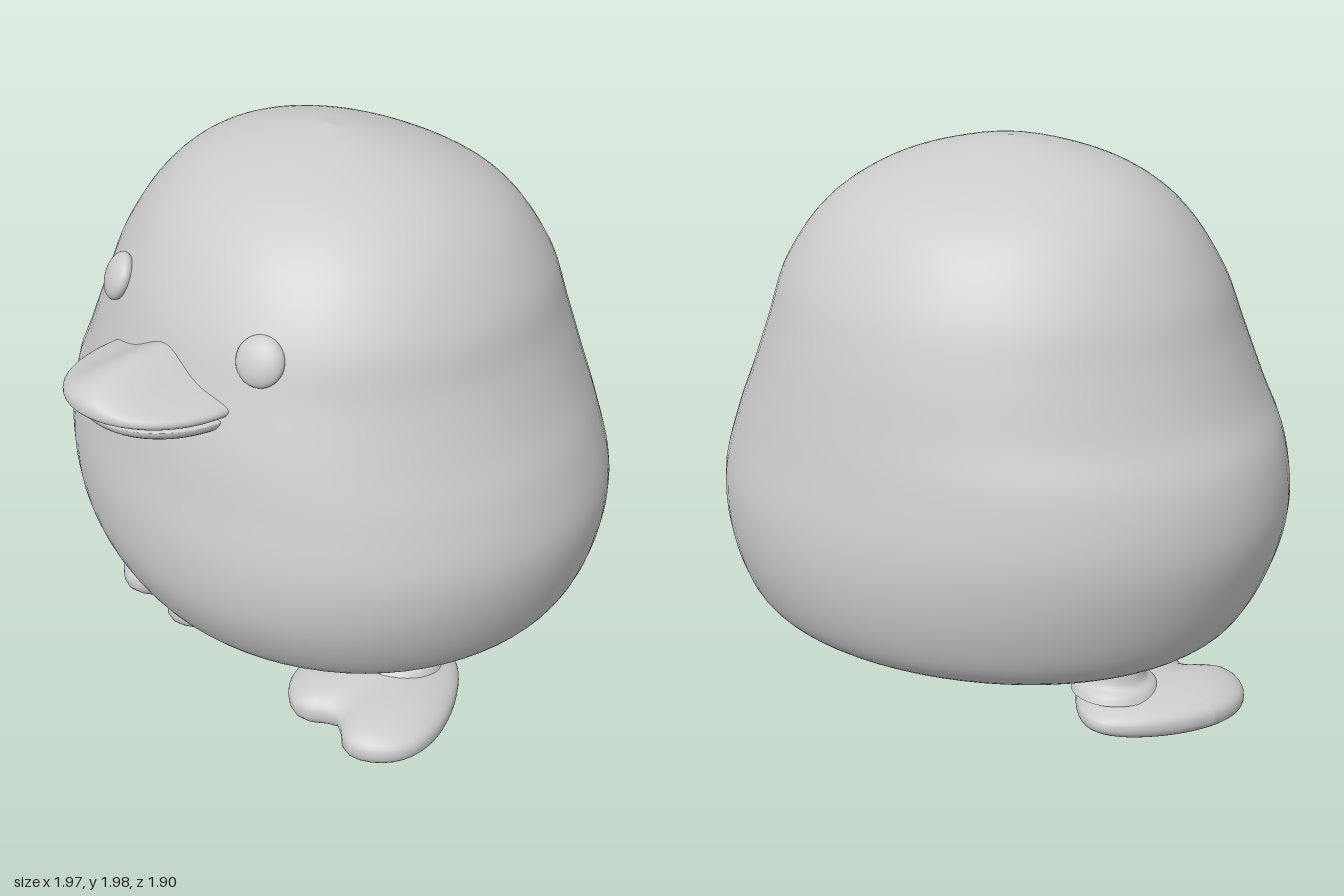
import * as THREE from 'three';

const grey = new THREE.MeshStandardMaterial({ color: 0xcccccc });
grey.name = 'soft grey';

function part(name, geometry, parent) {
  const mesh = new THREE.Mesh(geometry, grey);
  mesh.name = name;
  parent.add(mesh);
  return mesh;
}

// Unit sphere whose points are moved by a rule
function shapedSphere(rule, w = 48, h = 32) {
  const g = new THREE.SphereGeometry(1, w, h);
  const p = g.attributes.position;
  for (let i = 0; i < p.count; i++) p.setXYZ(i, ...rule(p.getX(i), p.getY(i), p.getZ(i)));
  g.computeVertexNormals();
  return g;
}

// Body levels: height, right edge, left edge, front edge, back edge
const levels = [
  [0.375, -0.01, 0.01, -0.08, -0.1],
  [0.378, -0.4, 0.42, 0.28, -0.48],
  [0.385, -0.61, 0.64, 0.45, -0.66],
  [0.415, -0.73, 0.77, 0.53, -0.78],
  [0.5, -0.85, 0.885, 0.65, -0.88],
  [0.68, -0.94, 0.96, 0.74, -0.94],
  [0.88, -0.985, 0.982, 0.758, -0.947],
  [1.08, -0.955, 0.925, 0.73, -0.91],
  [1.24, -0.87, 0.85, 0.7, -0.875],
  [1.42, -0.795, 0.775, 0.645, -0.83],
  [1.6, -0.725, 0.715, 0.575, -0.765],
  [1.78, -0.6, 0.585, 0.45, -0.64],
  [1.9, -0.44, 0.41, 0.28, -0.45],
  [1.972, -0.22, 0.18, 0.08, -0.25],
  [2.0, -0.02, -0.01, -0.09, -0.1],
];

// Loft of slightly skewed ellipses through the levels
function bodyGeometry(rings = 84, sides = 72) {
  const curve = (a, b) => new THREE.CatmullRomCurve3(
    levels.map(l => new THREE.Vector3(l[a], l[0], l[b])), false, 'catmullrom', 0.5);
  const widths = curve(1, 2), depths = curve(3, 4);
  const pos = [], index = [];
  for (let i = 0; i <= rings; i++) {
    const w = widths.getPoint(i / rings), d = depths.getPoint(i / rings);
    const a = (w.z - w.x) / 2, b = (d.x - d.z) / 2;
    for (let j = 0; j < sides; j++) {
      const t = j / sides * Math.PI * 2, s = Math.sin(t);
      pos.push((w.x + w.z) / 2 + a * (Math.cos(t) + 0.07 * s * s), w.y, (d.x + d.z) / 2 + b * s);
      if (i < rings) {
        const k = (j + 1) % sides, p = i * sides, q = p + sides;
        index.push(p + j, q + j, p + k, p + k, q + j, q + k);
      }
    }
  }
  // Close both poles
  for (let j = 1; j < sides - 1; j++) {
    index.push(0, j, j + 1);
    const q = rings * sides;
    index.push(q, q + j + 1, q + j);
  }
  const g = new THREE.BufferGeometry();
  g.setAttribute('position', new THREE.Float32BufferAttribute(pos, 3));
  g.setIndex(index);
  g.computeVertexNormals();
  return g;
}

export function createModel() {
  const model = new THREE.Group();
  model.name = 'duckling';
  part('body', bodyGeometry(), model);

  // Eyes: flattened balls facing along the surface
  for (const [name, x, y, z, yaw] of [['rightEye', -0.32, 1.555, 0.525, -0.42], ['leftEye', 0.38, 1.545, 0.52, 0.45]]) {
    const eye = part(name, new THREE.SphereGeometry(1, 32, 20), model);
    eye.scale.set(0.078, 0.08, 0.038);
    eye.position.set(x, y, z);
    eye.rotation.set(-0.42, yaw, 0, 'YXZ');
  }

  // Beak: crested upper bill over a shallow lower bill
  const beak = new THREE.Group();
  beak.name = 'beak';
  beak.position.set(0.047, 0, 0.6);
  model.add(beak);
  part('upperBill', shapedSphere((x, y, z) => {
    const crest = 0.045 + 0.075 * Math.exp(-((x * 0.285 / 0.13) ** 2));
    const up = Math.pow(Math.abs(y), 0.85);
    return [0.285 * x, 1.378 + 0.02 * z * z + (y > 0 ? crest : -0.05) * up, 0.355 * z];
  }), beak);
  part('lowerBill', shapedSphere((x, y, z) =>
    [0.272 * x, 1.345 + (y > 0 ? 0.02 : 0.085) * y, 0.3 * z]), beak);

  // Legs and two-toed feet
  const legProfile = [[0.15, 0.17], [0.135, 0.195], [0.108, 0.215], [0.097, 0.25], [0.094, 0.3], [0.097, 0.42]]
    .map(p => new THREE.Vector2(...p));
  const legGeometry = new THREE.LatheGeometry(new THREE.SplineCurve(legProfile).getPoints(24), 32);
  const footGeometry = shapedSphere((x, y, z) => {
    const px = 0.272 * x * (1 + 0.35 * z);
    const cleft = Math.exp(-((px / 0.085) ** 2)) * Math.max(0, z + 0.1);
    const high = (0.085 + 0.015 * z) * (1 - 0.2 * cleft);
    return [px, 0.108 - 0.006 * z + high * Math.sign(y) * Math.pow(Math.abs(y), 0.8), 0.08 + 0.31 * z - 0.09 * cleft];
  });
  for (const [side, s] of [['right', -1], ['left', 1]]) {
    part(side + 'Leg', legGeometry, model).position.set(0.425 * s, 0, -0.043);
    part(side + 'Foot', footGeometry, model).position.set(0.477 * s, 0, 0);
  }
  return model;
}
